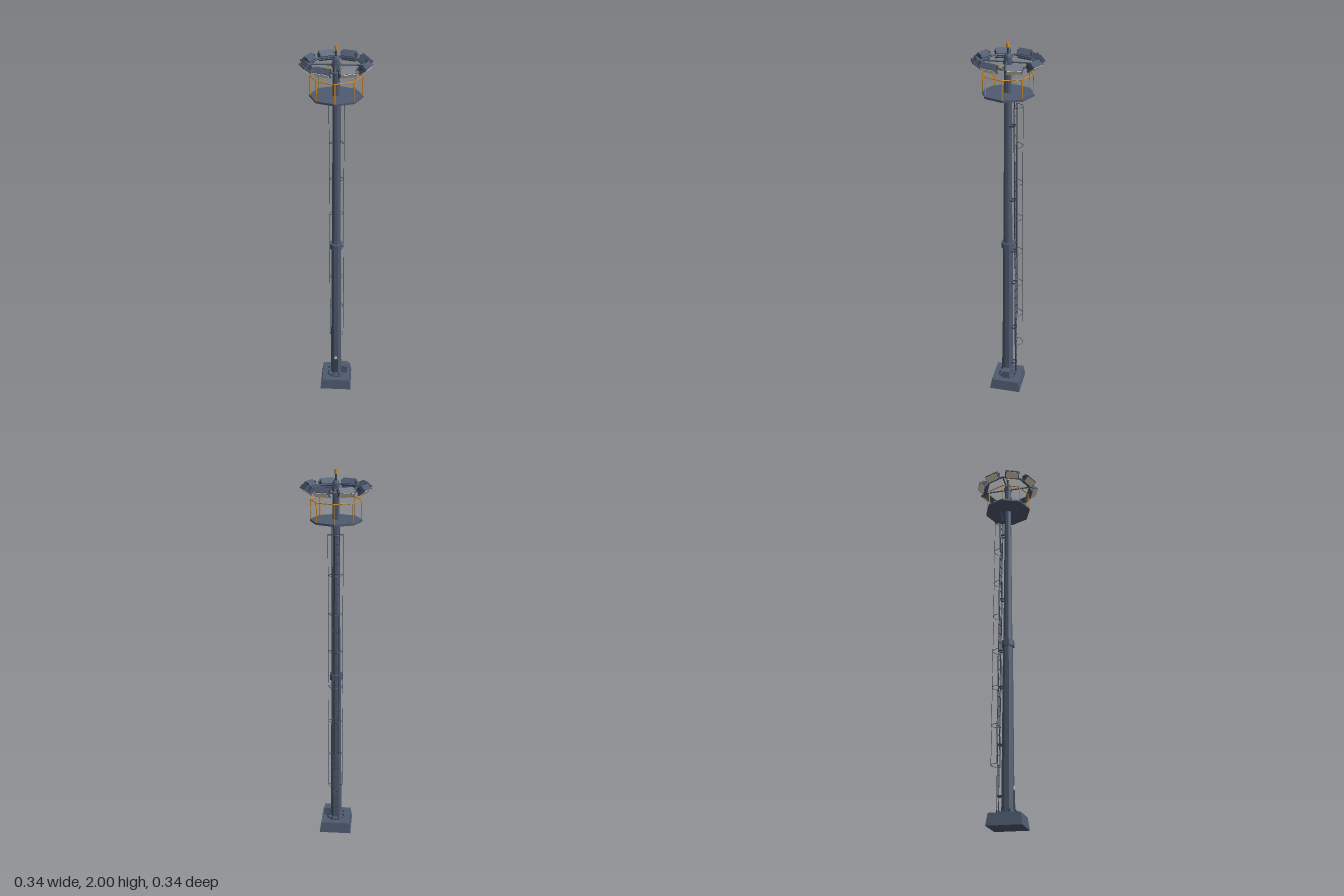
import * as THREE from 'three';

const mat = (name, color) => {
  const m = new THREE.MeshStandardMaterial({ color, flatShading: true });
  m.name = name;
  return m;
};

export function createModel() {
  const steel = mat('slate steel', 0x4f5b70);
  const dark = mat('dark steel', 0x3b4454);
  const amber = mat('safety amber', 0xd08a20);
  const glass = mat('warm lamp glass', 0xeadcc0);
  const model = new THREE.Group();
  model.name = 'floodlightMast';

  const add = (name, geo, m, x = 0, y = 0, z = 0, parent = model) => {
    const mesh = new THREE.Mesh(geo, m);
    mesh.name = name;
    mesh.position.set(x, y, z);
    parent.add(mesh);
    return mesh;
  };
  const group = (name, parent = model) => {
    const g = new THREE.Group();
    g.name = name;
    parent.add(g);
    return g;
  };
  const box = (w, h, d) => new THREE.BoxGeometry(w, h, d);
  // Upright prism between two heights, turned so a flat faces the front
  const prism = (name, r0, r1, y0, y1, m, sides = 8, parent = model) => {
    const geo = new THREE.CylinderGeometry(r1, r0, y1 - y0, sides);
    geo.rotateY(Math.PI / sides);
    return add(name, geo, m, 0, (y0 + y1) / 2, 0, parent);
  };
  // Thin round bar between two points
  const rod = (name, a, b, r, m, parent, sides = 6) => {
    const p = new THREE.Vector3(...a), q = new THREE.Vector3(...b);
    const d = q.clone().sub(p);
    const mesh = add(name, new THREE.CylinderGeometry(r, r, d.length(), sides), m, 0, 0, 0, parent);
    mesh.position.copy(p).add(q).multiplyScalar(0.5);
    mesh.quaternion.setFromUnitVectors(new THREE.Vector3(0, 1, 0), d.normalize());
    return mesh;
  };
  const polar = (r, a, y) => [r * Math.sin(a), y, r * Math.cos(a)];

  // Foundation and anchor flange
  prism('foundation', 0.123, 0.11, 0, 0.06, steel, 4);
  prism('baseFlange', 0.054, 0.054, 0.06, 0.07, steel);
  for (let i = 0; i < 8; i++) {
    const a = (i + 0.5) * Math.PI / 4;
    const [x, , z] = polar(0.045, a, 0);
    add('anchorBolt', new THREE.CylinderGeometry(0.004, 0.004, 0.012, 6), dark, x, 0.075, z);
  }

  // Tapered mast in two sections with a joint collar
  prism('lowerMast', 0.032, 0.026, 0.06, 0.94, steel);
  prism('upperMast', 0.024, 0.017, 0.93, 1.94, steel);
  prism('jointCollar', 0.035, 0.035, 0.92, 0.952, steel);

  // Access door, label and control box
  add('accessDoor', box(0.022, 0.09, 0.008), dark, 0, 0.13, 0.028);
  add('doorLabel', box(0.014, 0.018, 0.004), glass, 0, 0.188, 0.029);
  add('controlBox', box(0.036, 0.046, 0.045), steel, 0.047, 0.096, 0);

  // Ladder leaning along the mast taper
  const ladder = group('ladder');
  const lz = y => -0.05 + 0.0082 * (y - 0.08);
  for (const s of [-1, 1])
    rod('ladderRail', [s * 0.018, 0.07, lz(0.07)], [s * 0.018, 1.755, lz(1.755)], 0.002, dark, ladder);
  for (let y = 0.1; y < 1.74; y += 0.05)
    rod('rung', [-0.018, y, lz(y)], [0.018, y, lz(y)], 0.0015, dark, ladder, 5);
  for (const y of [0.15, 0.4, 0.7, 0.9, 1.2, 1.6])
    for (const s of [-1, 1])
      add('ladderBracket', box(0.004, 0.007, 0.036), dark, s * 0.014, y, lz(y) + 0.017, ladder);

  // Safety cage: half hoops joined by straps
  const cage = group('ladderCage');
  for (let i = 0; i < 8; i++) {
    const y = 0.3 + 0.2 * i;
    const hoop = add('cageHoop', new THREE.TorusGeometry(0.037, 0.0014, 5, 14, Math.PI), dark, 0, y, lz(y), cage);
    hoop.rotation.x = -Math.PI / 2;
    for (const s of [-1, 1])
      rod('hoopTie', [s * 0.018, y, lz(y)], [s * 0.037, y, lz(y)], 0.0014, dark, cage, 5);
  }
  for (const [x, z] of [[-0.037, 0], [0, -0.037], [0.037, 0]])
    rod('cageStrap', [x, 0.3, lz(0.3) + z], [x, 1.7, lz(1.7) + z], 0.0012, dark, cage, 5);

  // Octagonal service platform with guard rail
  add('platform', new THREE.CylinderGeometry(0.127, 0.127, 0.01, 8), steel, 0, 1.76, 0);
  const rail = group('guardRail');
  for (let i = 0; i < 8; i++) {
    const a = i * Math.PI / 4, b = a + Math.PI / 4;
    rod('railPost', polar(0.122, a, 1.762), polar(0.122, a, 1.857), 0.0027, amber, rail);
    rod('topRail', polar(0.122, a, 1.857), polar(0.122, b, 1.857), 0.0027, amber, rail);
  }

  // Lamp ring carried on four spokes
  const ring = group('lampRing');
  for (let i = 0; i < 8; i++) {
    const a = i * Math.PI / 4;
    rod('ringBar', polar(0.127, a, 1.91), polar(0.127, a + Math.PI / 4, 1.91), 0.0045, steel, ring);
    if (i % 2 === 0) rod('spoke', polar(0.01, a, 1.91), polar(0.127, a, 1.91), 0.004, steel, ring);
  }
  prism('hub', 0.022, 0.022, 1.9, 1.92, steel, 8, ring);

  // Eight floodlights aimed outward and down
  for (let i = 0; i < 8; i++) {
    const mount = group('floodlight');
    mount.rotation.y = (i + 0.5) * Math.PI / 4;
    const head = group('lampHead', mount);
    head.position.set(0, 1.915, 0.143);
    head.rotation.x = 0.9;
    add('lampBody', box(0.07, 0.036, 0.022), steel, 0, 0, -0.005, head);
    add('lampRim', box(0.077, 0.043, 0.01), steel, 0, 0, 0.01, head);
    add('lampLens', box(0.069, 0.035, 0.003), glass, 0, 0, 0.0155, head);
    for (const s of [-1, 1])
      add('lampYoke', box(0.004, 0.012, 0.022), dark, s * 0.036, 0, -0.008, head);
  }

  // Mast cap, rod and warning beacon
  prism('mastCap', 0.019, 0.012, 1.935, 1.95, steel);
  prism('beaconRod', 0.005, 0.005, 1.945, 1.98, dark);
  prism('beacon', 0.009, 0.007, 1.978, 2, amber);

  return model;
}
